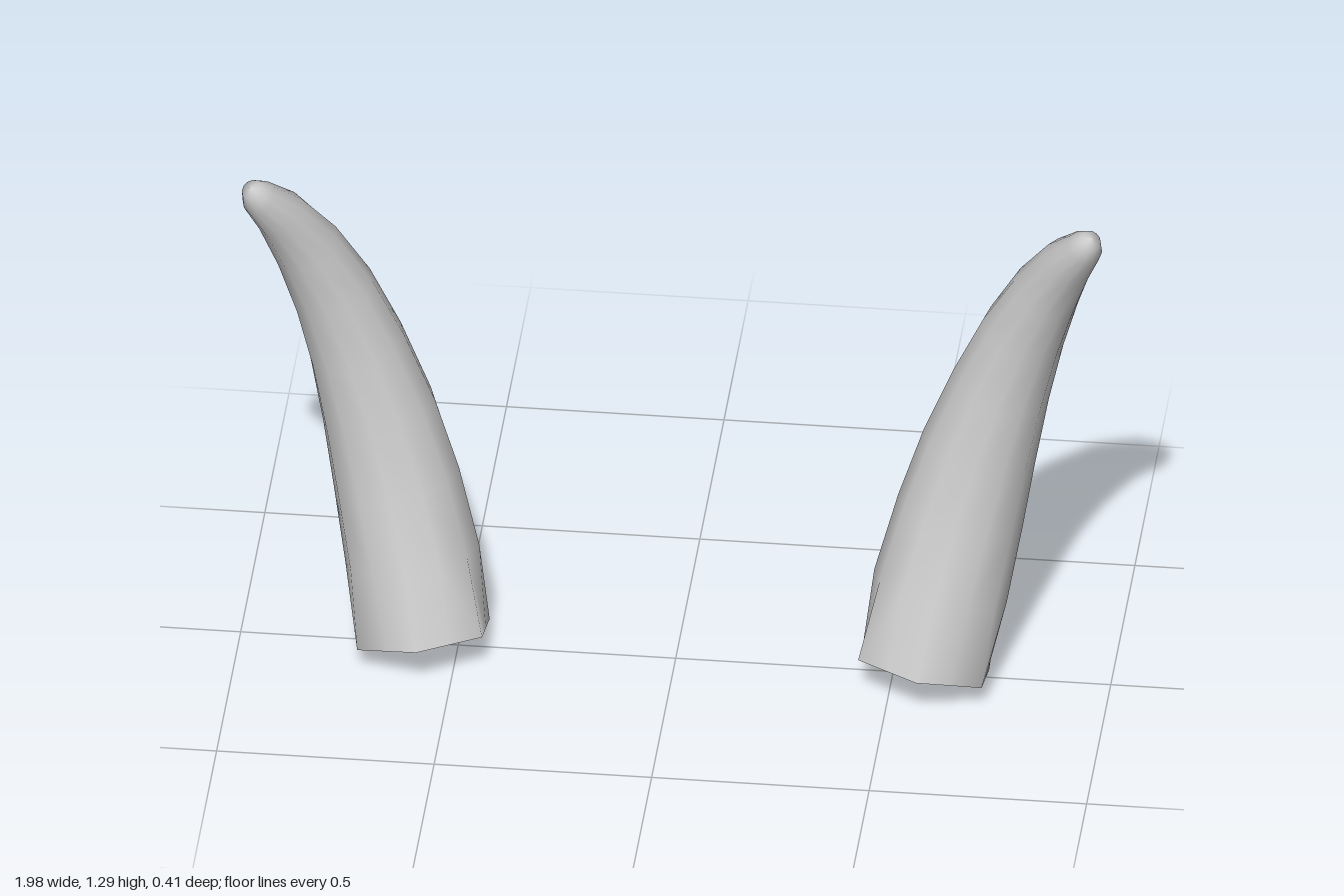
import * as THREE from 'three';

const SIDES = 12;

// Centre line of the left horn from base to tip: x, y, z, radius
const RINGS = [
  [0.575, 0.055, 0.045, 0.167],
  [0.607, 0.235, -0.015, 0.156],
  [0.648, 0.415, -0.055, 0.147],
  [0.690, 0.585, -0.072, 0.133],
  [0.741, 0.760, -0.072, 0.114],
  [0.793, 0.915, -0.055, 0.097],
  [0.850, 1.055, -0.020, 0.079],
  [0.905, 1.170, 0.030, 0.060],
  [0.950, 1.245, 0.080, 0.042],
  [0.965, 1.276, 0.096, 0.024],
  [0.968, 1.282, 0.100, 0],
];

// Curved, tapering horn: open six-cornered base, round body, closed blunt tip
function hornGeometry(side) {
  const centres = RINGS.map(([x, y, z]) => new THREE.Vector3(x, y, z));
  const xAxis = new THREE.Vector3(1, 0, 0);
  const positions = [];
  const indices = [];
  const last = RINGS.length - 1;

  RINGS.forEach((ring, i) => {
    const below = centres[Math.max(i - 1, 0)];
    const above = centres[Math.min(i + 1, last)];
    const tangent = above.clone().sub(below).normalize();
    const u = xAxis.clone().cross(tangent).normalize();
    const v = tangent.clone().cross(u);
    for (let j = 0; j < SIDES; j++) {
      const angle = (j / SIDES) * Math.PI * 2;
      // the base ring is a hexagon, so its odd points lie on the flat edges
      const r = ring[3] * (i === 0 && j % 2 ? Math.cos(Math.PI / 6) : 1);
      const p = centres[i].clone()
        .addScaledVector(u, r * Math.cos(angle))
        .addScaledVector(v, r * Math.sin(angle));
      positions.push(side * p.x, p.y, p.z);
    }
  });

  for (let i = 0; i < last; i++) {
    for (let j = 0; j < SIDES; j++) {
      const a = i * SIDES + j;
      const b = i * SIDES + ((j + 1) % SIDES);
      const c = b + SIDES;
      const d = a + SIDES;
      if (side > 0) indices.push(a, b, c, a, c, d);
      else indices.push(a, c, b, a, d, c);
    }
  }

  const geometry = new THREE.BufferGeometry();
  geometry.setAttribute('position', new THREE.Float32BufferAttribute(positions, 3));
  geometry.setIndex(indices);
  geometry.computeVertexNormals();
  return geometry;
}

export function createModel() {
  const group = new THREE.Group();
  group.name = 'hornPair';
  const material = new THREE.MeshStandardMaterial({ color: 0xcccccc, side: THREE.DoubleSide });
  material.name = 'pale grey horn';

  for (const [name, side] of [['leftHorn', 1], ['rightHorn', -1]]) {
    const horn = new THREE.Mesh(hornGeometry(side), material);
    horn.name = name;
    group.add(horn);
  }
  return group;
}
